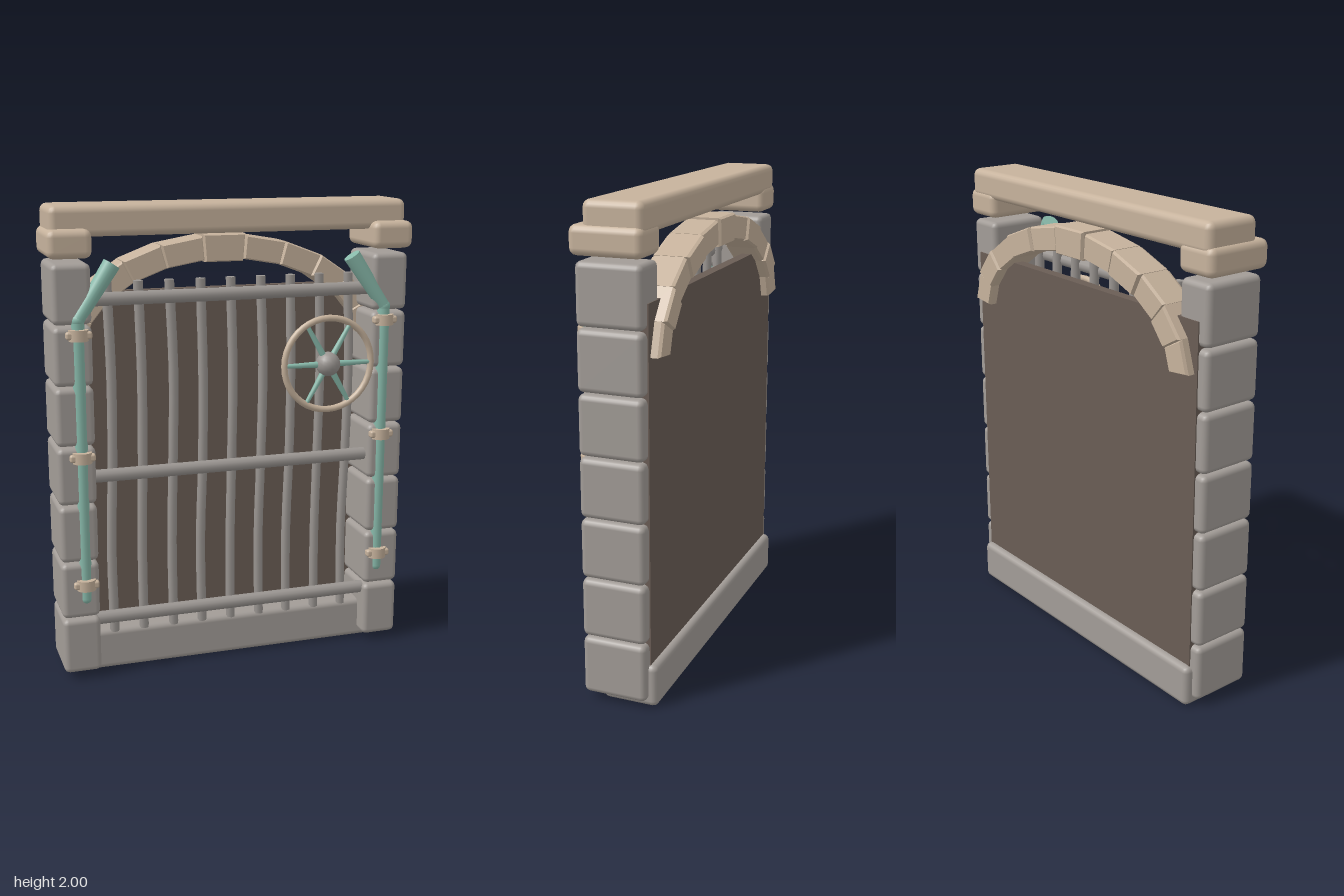
import * as THREE from 'three';
import { RoundedBoxGeometry } from 'three/addons/geometries/RoundedBoxGeometry.js';

function mat(name, color) {
  const m = new THREE.MeshStandardMaterial({ color });
  m.name = name;
  return m;
}

export function createModel() {
  const root = new THREE.Group();
  root.name = 'gate';
  const stone = mat('grey stone', 0xa29c97);
  const sand = mat('sandstone', 0xc6b29c);
  const iron = mat('grey iron', 0x9a9591);
  const panelMat = mat('dark panel', 0x6a5d55);
  const teal = mat('teal pipe', 0x88b9aa);

  function add(name, geo, material, parent = root) {
    const m = new THREE.Mesh(geo, material);
    m.name = name;
    parent.add(m);
    return m;
  }
  // Rounded block given by its minimum and maximum corners
  function block(name, a, b, r, material, parent) {
    const g = new RoundedBoxGeometry(b[0] - a[0], b[1] - a[1], b[2] - a[2], 2, r);
    g.translate((a[0] + b[0]) / 2, (a[1] + b[1]) / 2, (a[2] + b[2]) / 2);
    return add(name, g, material, parent);
  }
  // Cylinder running from p to q
  function rod(name, p, q, r0, r1, material, parent, sides = 12) {
    const a = new THREE.Vector3(...p), b = new THREE.Vector3(...q);
    const m = add(name, new THREE.CylinderGeometry(r1, r0, a.distanceTo(b), sides), material, parent);
    m.position.copy(a).lerp(b, 0.5);
    m.quaternion.setFromUnitVectors(new THREE.Vector3(0, 1, 0), b.sub(a).normalize());
    return m;
  }
  function ball(name, p, r, material, parent) {
    const m = add(name, new THREE.SphereGeometry(r, 16, 12), material, parent);
    m.position.set(...p);
    return m;
  }

  // Lintel, sill and back panel
  block('lintel', [-0.765, 1.875, -0.165], [0.765, 2, 0.078], 0.03, sand);
  block('sill', [-0.735, 0, -0.195], [0.735, 0.18, 0.04], 0.025, stone);
  const panel = add('backPanel', new THREE.BoxGeometry(1.44, 1.53, 0.045), panelMat);
  panel.position.set(0, 0.865, -0.1425);

  // Pillars with pipes and clamps, mirrored on both sides
  for (const s of [-1, 1]) {
    const side = new THREE.Group();
    side.name = s > 0 ? 'leftPillar' : 'rightPillar';
    root.add(side);
    const span = (x0, x1) => (s > 0 ? [x0, x1] : [-x1, -x0]);
    for (let i = 0; i < 7; i++) {
      const [x0, x1] = span(0.607, 0.768);
      const y = 0.152 + i * 0.2503;
      block('pillarBlock', [x0, y - 0.122, -0.16], [x1, y + 0.122, 0.11], 0.024, stone, side);
    }
    const [c0, c1] = span(0.6, 0.782);
    block('pillarCap', [c0, 1.795, -0.168], [c1, 1.91, 0.128], 0.03, sand, side);

    const x = s * 0.665, z = 0.095;
    ball('pipeEnd', [x, 0.365, z], 0.025, teal, side);
    rod('pipe', [x, 0.365, z], [x, 1.55, z], 0.025, 0.027, teal, side, 16);
    ball('pipeElbow', [x, 1.55, z], 0.029, teal, side);
    rod('pipeBend', [x, 1.55, z], [s * 0.518, 1.768, 0.08], 0.028, 0.037, teal, side, 16);
    for (const y of [0.43, 0.985, 1.492]) {
      const ring = add('clampRing', new THREE.CylinderGeometry(0.042, 0.042, 0.046, 16), sand, side);
      ring.position.set(x, y, 0.102);
      block('clampPlate', [x - 0.054, y - 0.016, 0.09], [x + 0.054, y + 0.016, 0.128], 0.01, sand, side);
    }
  }

  // Arch of wedge stones along half an ellipse
  const arch = new THREE.Group();
  arch.name = 'arch';
  root.add(arch);
  function archPoint(t, off) {
    const a = 0.655, b = 0.405, c = 1.4;
    const n = new THREE.Vector2(Math.sin(t) / a, Math.cos(t) / b).normalize();
    return new THREE.Vector2(a * Math.sin(t) + n.x * off, c + b * Math.cos(t) + n.y * off);
  }
  const step = THREE.MathUtils.degToRad(15.8);
  for (let i = -5; i <= 5; i++) {
    const t = i * step, d = step * 0.46, h = i === 0 ? 0.053 : 0.045;
    const depth = 0.118 + (i % 2 ? 0 : 0.008);
    const corners = [archPoint(t - d, -h), archPoint(t + d, -h), archPoint(t + d, h), archPoint(t - d, h)];
    const geo = new THREE.ExtrudeGeometry(new THREE.Shape(corners), {
      depth, bevelEnabled: true, bevelSize: 0.006, bevelThickness: 0.012, bevelSegments: 1,
    });
    geo.translate(0, 0, -0.075 - depth);
    add('archStone', geo, sand, arch);
  }

  // Grille: gently bent uprights and three crossbars
  const grille = new THREE.Group();
  grille.name = 'grille';
  root.add(grille);
  for (let i = 0; i < 9; i++) {
    const x = (i - 4) * 0.132;
    const pts = [0.17, 0.55, 0.92, 1.3, 1.69].map((y, k) => new THREE.Vector3(
      x + [-0.004, -0.007, 0.003, 0.008, -0.003][k] * (1 + 0.3 * Math.sin(i * 2.3 + k)), y, 0.025));
    add('uprightBar', new THREE.TubeGeometry(new THREE.CatmullRomCurve3(pts), 12, 0.021, 8), iron, grille);
    const cap = add('uprightTip', new THREE.CylinderGeometry(0.021, 0.021, 0.008, 8), iron, grille);
    cap.position.set(pts[4].x, 1.687, 0.025);
  }
  for (const y of [0.25, 0.885, 1.625]) {
    rod('crossbar', [-0.615, y, 0.055], [0.615, y, 0.055], 0.028, 0.028, iron, grille, 12);
  }

  // Hand wheel
  const wheel = new THREE.Group();
  wheel.name = 'handWheel';
  wheel.position.set(0.383, 1.325, 0.17);
  root.add(wheel);
  add('wheelRim', new THREE.TorusGeometry(0.196, 0.014, 10, 40), sand, wheel);
  ball('wheelHub', [0, 0, 0], 0.052, iron, wheel);
  for (let i = 0; i < 6; i++) {
    const a = (i * Math.PI) / 3;
    rod('wheelSpoke', [Math.cos(a) * 0.035, Math.sin(a) * 0.035, 0],
      [Math.cos(a) * 0.192, Math.sin(a) * 0.192, 0], 0.014, 0.009, teal, wheel, 8);
  }
  return root;
}
